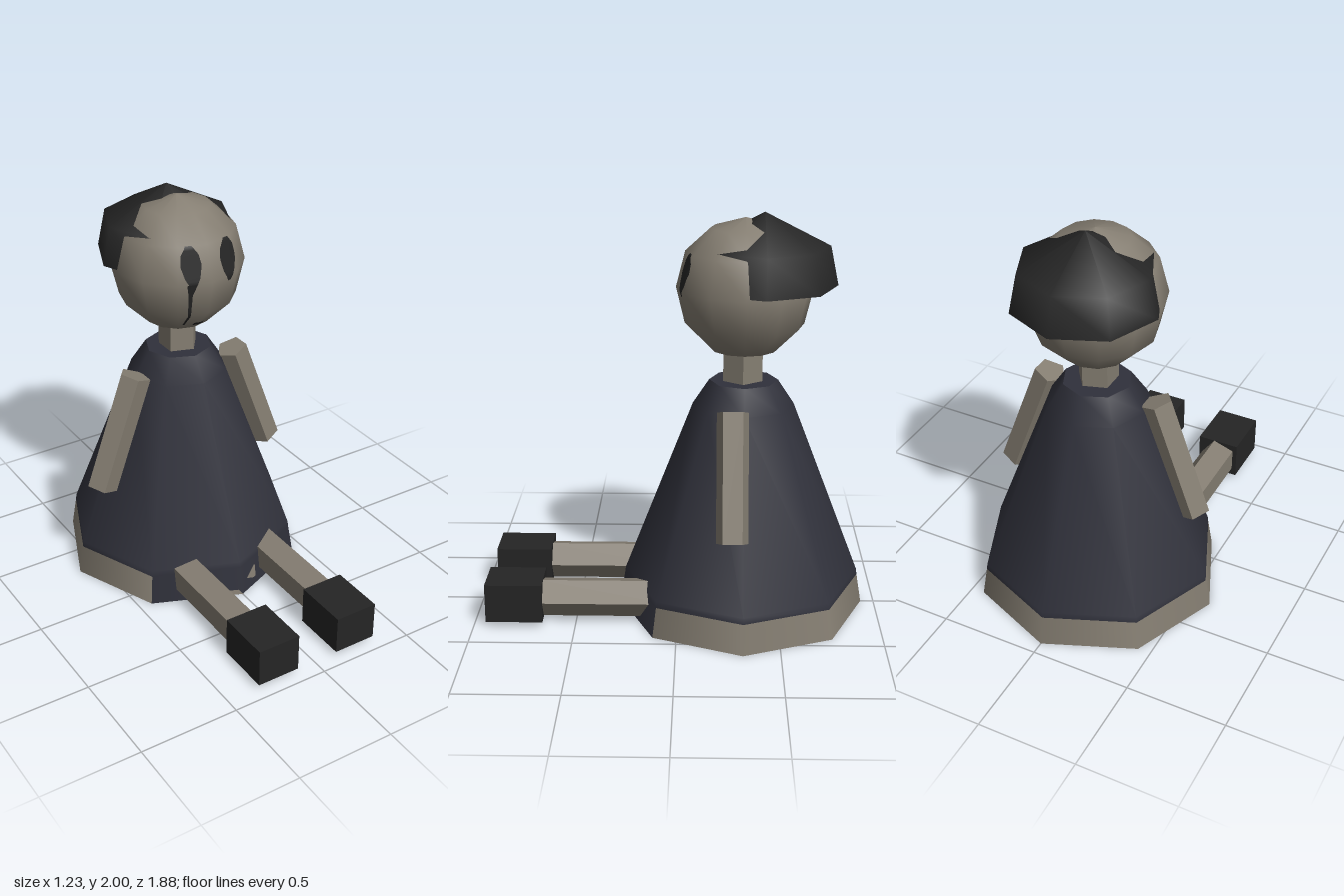
import * as THREE from 'three';

const material = (name, color) => {
  const m = new THREE.MeshStandardMaterial({ color });
  m.name = name;
  return m;
};

export function createModel() {
  const skin = material('pale grey', 0x857e72);
  const navy = material('dark navy', 0x30313b);
  const black = material('charcoal', 0x252525);
  const model = new THREE.Group();
  const axisZ = -0.32;

  const add = (name, geometry, mat) => {
    const mesh = new THREE.Mesh(geometry, mat);
    mesh.name = name;
    model.add(mesh);
    return mesh;
  };

  const lathe = (points, segments, y, z, start = 0, length = Math.PI * 2) =>
    new THREE.LatheGeometry(points.map(p => new THREE.Vector2(...p)), segments, start, length)
      .translate(0, y, z);

  const disc = (radius, y, z, up) =>
    new THREE.CircleGeometry(radius, 8).rotateX(up ? -Math.PI / 2 : Math.PI / 2).translate(0, y, z);

  // Faceted five-sided post with one edge towards +x or -x
  const post = (radius, length, side) =>
    new THREE.CylinderGeometry(radius, radius, length, 5).rotateY(side * Math.PI / 2);
  const faceted = geometry => {
    const g = geometry.toNonIndexed();
    g.computeVertexNormals();
    return g;
  };

  // Painted patch laid on a surface from the front; rows are [y, xMin, xMax], top to bottom
  const ray = new THREE.Raycaster();
  const patch = (name, target, rows, mat) => {
    const cols = 6, steps = 4, count = (rows.length - 1) * steps;
    const g = new THREE.PlaneGeometry(1, 1, cols, count);
    const p = g.attributes.position;
    for (let j = 0; j <= count; j++) {
      const k = Math.min(Math.floor(j / steps), rows.length - 2), t = j / steps - k;
      const [y, a, b] = rows[k].map((v, n) => THREE.MathUtils.lerp(v, rows[k + 1][n], t));
      for (let i = 0; i <= cols; i++) {
        const x = a + (b - a) * i / cols;
        ray.set(new THREE.Vector3(x, y, 2), new THREE.Vector3(0, 0, -1));
        const hit = ray.intersectObject(target)[0];
        p.setXYZ(j * (cols + 1) + i, x, y, (hit ? hit.point.z : axisZ) + 0.006);
      }
    }
    g.computeVertexNormals();
    add(name, g, mat);
  };

  // Dress, with a pale hem that stops at the two front panels
  add('dress', lathe([[0.59, 0.15], [0.586, 0.18], [0.247, 1.06], [0.168, 1.18]], 8, 0, axisZ), navy);
  add('dressTop', disc(0.168, 1.18, axisZ, true), navy);
  add('dressBase', disc(0.615, 0, axisZ, false), black);
  const band = [[0.615, 0], [0.59, 0.15]];
  add('hem', lathe(band, 6, 0, axisZ, Math.PI / 4, Math.PI * 1.5), skin);
  const front = add('frontHem', lathe(band, 2, 0, axisZ, -Math.PI / 4, Math.PI / 2), navy);
  patch('hemMark', front, [[0.03, -0.12, -0.02], [0.004, -0.26, 0]], skin);
  patch('hemSpot', front, [[0.11, 0.1, 0.11], [0.07, 0.04, 0.11], [0.045, 0.09, 0.11]], skin);

  // Neck and head
  add('neck', faceted(post(0.1, 0.22, 1).translate(0, 1.26, -0.315)), skin);
  const head = add('head', lathe([[0, -0.33], [0.162, -0.302], [0.288, -0.177], [0.33, 0],
    [0.286, 0.175], [0.165, 0.286], [0, 0.335]], 12, 1.64, axisZ), skin);

  // Cap of hair, set back so the head shows through in front
  add('hair', lathe([[0.355, 0], [0.315, 0.19], [0, 0.35]], 8, 1.65, -0.41), black);
  add('hairUnderside', disc(0.355, 1.65, -0.41, false), black);

  // Eyes, tear line and mouth
  for (const [name, x] of [['rightEye', -0.095], ['leftEye', 0.11]]) {
    const outline = [[0.1, 0.015], [0.06, 0.042], [0.01, 0.05], [-0.05, 0.036], [-0.105, 0.008]];
    patch(name, head, outline.map(([y, w]) => [1.72 + y, x - w, x + w]), black);
  }
  patch('tearLine', head, [[1.64, -0.125, -0.075], [1.58, -0.112, -0.092],
    [1.48, -0.103, -0.088], [1.38, -0.085, -0.075]], black);
  patch('mouth', head, [[1.385, -0.03, 0.025], [1.365, -0.03, 0.025]], black);

  // Arms, legs and shoes
  for (const [side, s] of [['left', 1], ['right', -1]]) {
    const arm = post(0.08, 0.617, -1).rotateZ(s * 0.35).translate(s * 0.389, 0.81, -0.265);
    add(side + 'Arm', faceted(arm), skin);
    const leg = post(0.1, 0.66, 1).rotateX(Math.PI / 2).translate(s * 0.23, 0.125, 0.35);
    add(side + 'Leg', faceted(leg), skin);
    add(side + 'Shoe', new THREE.BoxGeometry(0.222, 0.195, 0.28).translate(s * 0.223, 0.123, 0.8), black);
  }
  return model;
}
